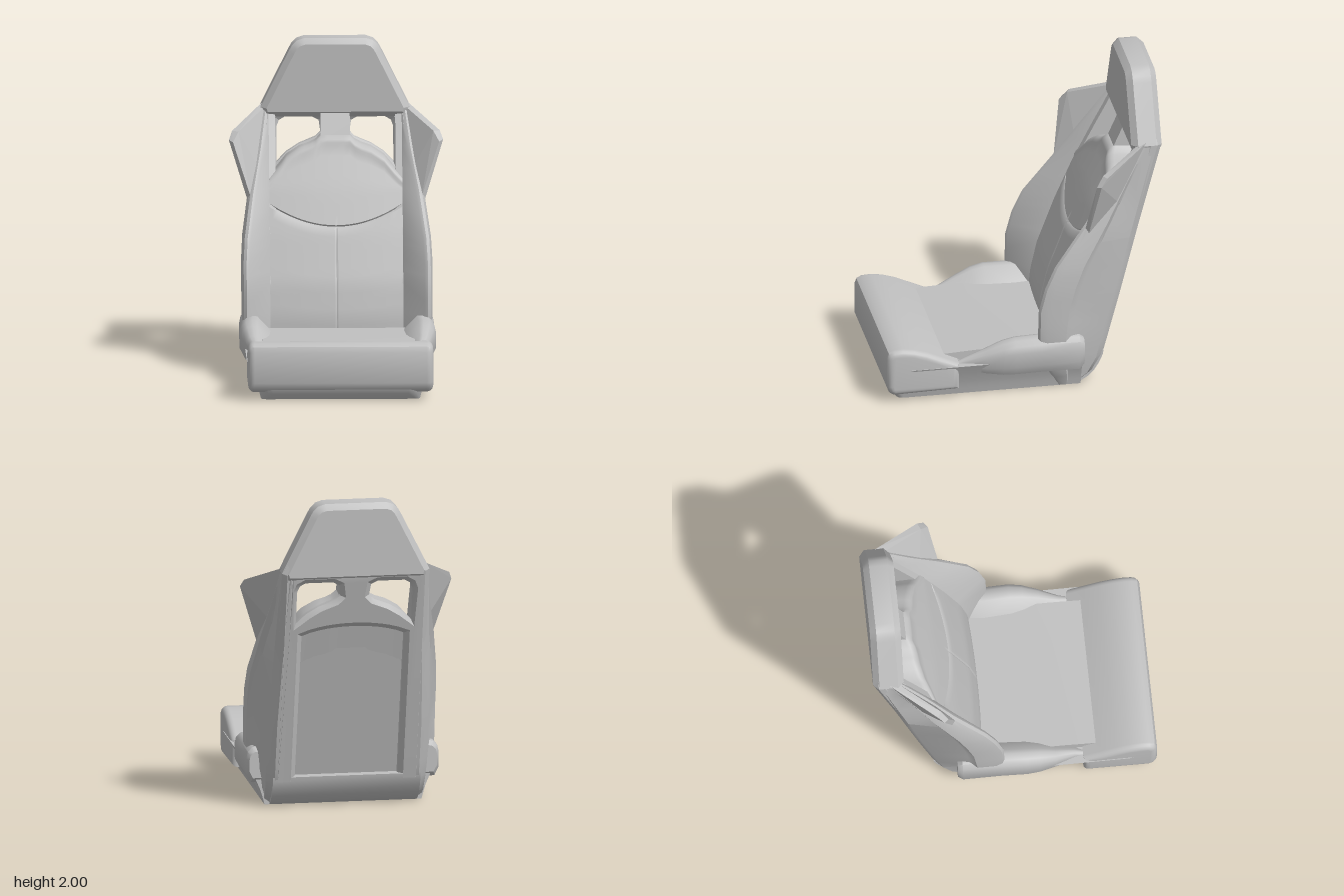
import * as THREE from 'three';
import { toCreasedNormals } from 'three/addons/utils/BufferGeometryUtils.js';
import { ConvexGeometry } from 'three/addons/geometries/ConvexGeometry.js';

const grey = new THREE.MeshStandardMaterial({ color: 0xc0c0c0 });
grey.name = 'seat grey';

// Piecewise linear lookup in a table of [key, value...] rows
function lookup(table, t, col = 1) {
  let i = 0;
  while (i < table.length - 2 && t > table[i + 1][0]) i++;
  const a = table[i], b = table[i + 1];
  const k = Math.min(1, Math.max(0, (t - a[0]) / (b[0] - a[0])));
  return a[col] + (b[col] - a[col]) * k;
}

// Capped solid through closed loops of [x, y, z]; faces always point outwards
function loft(loops, crease = 0.6) {
  const n = loops[0].length, pts = loops.flat(), idx = [];
  for (let r = 0; r < loops.length - 1; r++)
    for (let i = 0; i < n; i++) {
      const j = (i + 1) % n, a = r * n + i, b = r * n + j;
      idx.push(a, b, b + n, a, b + n, a + n);
    }
  [0, loops.length - 1].forEach((r, end) => {
    const c = [0, 1, 2].map(k => loops[r].reduce((s, p) => s + p[k], 0) / n);
    pts.push(c);
    for (let i = 0; i < n; i++) {
      const a = r * n + i, b = r * n + (i + 1) % n;
      idx.push(pts.length - 1, end ? a : b, end ? b : a);
    }
  });
  const v = pts.map(p => new THREE.Vector3(...p)), cross = new THREE.Vector3();
  let volume = 0;
  for (let i = 0; i < idx.length; i += 3)
    volume += v[idx[i]].dot(cross.crossVectors(v[idx[i + 1]], v[idx[i + 2]]));
  if (volume < 0) idx.reverse();
  const g = new THREE.BufferGeometry().setFromPoints(v);
  g.setIndex(idx);
  return toCreasedNormals(g.toNonIndexed(), crease);
}

const shapeOf = pts => new THREE.Shape(pts.map(p => new THREE.Vector2(...p)));

// Side profile of [z, y] points, extruded across the width
function acrossX(profile, width, bevel = 0) {
  const g = new THREE.ExtrudeGeometry(shapeOf(profile), {
    depth: width - 2 * bevel, bevelEnabled: bevel > 0, bevelSize: bevel,
    bevelThickness: bevel, bevelOffset: -bevel, bevelSegments: 5,
  });
  g.translate(0, 0, bevel - width / 2).rotateY(-Math.PI / 2);
  return toCreasedNormals(g, 0.7);
}

// Rear surface of the shell, and front surface of the backrest padding
const REAR = [[0, -0.35], [0.07, -0.44], [0.17, -0.494], [1.58, -0.87], [2, -0.87]];
const FRONT = [[0, -0.18], [0.35, -0.2], [0.55, -0.245], [0.84, -0.355], [1.1, -0.47], [1.35, -0.60], [1.57, -0.72]];
const rear = y => lookup(REAR, y);
const front = y => lookup(FRONT, y);
const DOME = [[0, 1.41], [0.09, 1.41], [0.12, 1.38], [0.16, 1.36], [0.22, 1.34], [0.3, 1.29], [0.36, 1.22], [0.41, 1.17]];
const domeTop = x => lookup(DOME, Math.abs(x));

// Back shell: open recess below, two windows above, leaned along the rear surface
function shellGeometry() {
  const outline = [[-0.46, 0.14], [-0.32, 0.14]];
  for (let i = 0; i <= 12; i++) {
    const x = -0.32 + 0.64 * i / 12;
    outline.push([x, 1.06 + 0.14 * Math.sqrt(1 - (x / 0.4) ** 2)]);
  }
  outline.push([0.32, 0.14], [0.46, 0.14], [0.46, 1.57], [0.41, 1.65], [-0.41, 1.65], [-0.46, 1.57]);
  const shape = shapeOf(outline);
  for (const s of [-1, 1]) {
    const hole = [[0.09, 1.41], [0.12, 1.38], [0.22, 1.34], [0.3, 1.29], [0.36, 1.23], [0.36, 1.44],
      [0.345, 1.48], [0.31, 1.5], [0.14, 1.5], [0.1, 1.48]];
    shape.holes.push(new THREE.Path(hole.map(([x, y]) => new THREE.Vector2(s * x, y))));
  }
  const g = new THREE.ExtrudeGeometry(shape, {
    depth: 0.04, bevelSize: 0.03, bevelThickness: 0.03, bevelOffset: -0.03, bevelSegments: 1,
  });
  g.translate(0, 0, 0.03);
  return lean(g);
}

function lean(g) {
  const p = g.attributes.position;
  for (let i = 0; i < p.count; i++) p.setZ(i, p.getZ(i) + rear(p.getY(i)));
  return toCreasedNormals(g.index ? g.toNonIndexed() : g, 0.5);
}

// Backrest pad: columns of a domed cushion with a curved seam and a centre seam
function padGeometry() {
  const xs = [0.41, 0.39, 0.36, 0.33, 0.3, 0.26, 0.22, 0.19, 0.16, 0.14, 0.12, 0.09, 0.05, 0.01];
  const columns = [...xs.map(x => -x), 0, ...xs.slice().reverse()];
  return loft(columns.map(x => {
    const bulge = 0.015 * (1 - (x / 0.41) ** 2);
    const seam = 0.88 + 0.12 * (x / 0.4) ** 2, top = domeTop(x), r = 0.06;
    const loop = [[x, 0.2, rear(0.2) + 0.1]];
    for (let i = 0; i <= 14; i++) {
      const y = 0.2 + (seam - 0.21) * i / 14;
      loop.push([x, y, front(y) + bulge - (x === 0 ? 0.006 : 0)]);
    }
    loop.push([x, seam, front(seam) + bulge - 0.012]);
    for (let i = 0; i <= 8; i++) {
      const y = seam + 0.01 + (top - r - seam - 0.01) * i / 8;
      loop.push([x, y, front(y) + bulge]);
    }
    const z = front(top - r) + bulge;
    for (let i = 1; i <= 5; i++) {
      const a = i / 5 * Math.PI / 2;
      loop.push([x, top - r + r * Math.sin(a), z - r * (1 - Math.cos(a))]);
    }
    loop.push([x, top - 0.01, rear(top) + 0.06]);
    return loop;
  }), 0.7);
}

// Side bolster rows: y, rear corner x, outer x, foremost z
const BOLSTER = [[0, 0.49, 0.49, -0.2], [0.2, 0.5, 0.57, -0.08], [0.37, 0.5, 0.588, -0.07], [0.55, 0.5, 0.588, -0.075],
  [0.7, 0.495, 0.588, -0.115], [0.84, 0.49, 0.58, -0.18], [1.1, 0.48, 0.54, -0.375], [1.35, 0.47, 0.49, -0.55], [1.58, 0.455, 0.455, -0.715]];
function bolsterGeometry(s) {
  const ys = [0, 0.07, 0.17, 0.28, 0.37, 0.46, 0.55, 0.62, 0.7, 0.77, 0.84, 0.97, 1.1, 1.22, 1.35, 1.46, 1.58];
  return loft(ys.map(y => {
    const xs = lookup(BOLSTER, y, 1), xo = lookup(BOLSTER, y, 2), zf = lookup(BOLSTER, y, 3);
    const zb = rear(y), zc = front(y), k = (zf - zb) * 0.45;
    return [[0.37, zb + 0.03], [0.4, zb + 0.001], [xs - 0.05, zb + 0.001], [xs, zb + 0.05],
      [Math.max(xo - 0.035, xs), zf - k], [xo, zf - k * 0.8], [xo, zf - k * 0.25], [xo - 0.012, zf - 0.012],
      [xo - 0.03, zf], [Math.max(xo - 0.05, 0.415), zf - 0.01], [0.41, zc], [0.37, zc - 0.005]]
      .map(([x, z]) => [s * x, y, z]);
  }), 0.6);
}

// Shoulder wing: a thick angled plate
const wingGeometry = s => new ConvexGeometry([
  [0.42, 1.58, -0.74], [0.6, 1.46, -0.47], [0.635, 1.4, -0.425], [0.525, 1.06, -0.37], [0.42, 1.12, -0.5],
  [0.45, 1.59, -0.77], [0.64, 1.46, -0.49], [0.66, 1.41, -0.45], [0.545, 1.04, -0.39], [0.48, 1.2, -0.6],
].map(([x, y, z]) => new THREE.Vector3(s * x, y, z)));

// Thigh bolster rows: z, inner x, outer x, bottom y, top y
const THIGH = [[-0.36, 0.44, 0.585, 0.17, 0.34], [-0.33, 0.42, 0.6, 0.14, 0.368], [-0.1, 0.4, 0.6, 0.14, 0.37], [0.07, 0.41, 0.605, 0.14, 0.368],
  [0.15, 0.42, 0.595, 0.14, 0.35], [0.25, 0.44, 0.57, 0.15, 0.305], [0.37, 0.46, 0.53, 0.17, 0.25], [0.44, 0.48, 0.52, 0.18, 0.22]];
const thighGeometry = s => loft(THIGH.map(([z, xi, xo, yb, yt]) => {
  const w = xo - xi, h = yt - yb;
  return [[xi, yb], [xi, yb + h * 0.55], [xi + w * 0.45, yt - h * 0.03], [xi + w * 0.6, yt], [xi + w * 0.8, yt - h * 0.04],
    [xo - w * 0.05, yt - h * 0.16], [xo, yt - h * 0.35], [xo, yb + h * 0.25], [xo - w * 0.15, yb]].map(([x, y]) => [s * x, y, z]);
}), 0.7);

// Seat base: flared tray with rounded front corners; rows: y, half width, front z, corner radius
function baseGeometry() {
  const rows = [[0, 0.49, 0.8, 0.04], [0.04, 0.5, 0.845, 0.08], [0.09, 0.515, 0.865, 0.1], [0.16, 0.545, 0.865, 0.12], [0.22, 0.575, 0.82, 0.12]];
  return loft(rows.map(([y, w, zf, r]) => {
    const half = [];
    for (let i = 0; i <= 5; i++) {
      const a = i / 5 * Math.PI / 2;
      half.push([w - r + r * Math.cos(a), y, zf - r + r * Math.sin(a)]);
    }
    return [[w, y, -0.35], ...half, ...half.slice().reverse().map(([x, q, z]) => [-x, q, z]), [-w, y, -0.35]];
  }), 0.6);
}

// Headrest: bevelled trapezoid with rounded top corners
function headGeometry() {
  const right = [[0.44, 1.51], [0.46, 1.57], [0.285, 1.92], [0.265, 1.955], [0.235, 1.985], [0.19, 2]];
  const g = new THREE.ExtrudeGeometry(shapeOf([...right, ...right.slice().reverse().map(([x, y]) => [-x, y])]), {
    depth: 0.115, bevelSize: 0.035, bevelThickness: 0.0375, bevelOffset: -0.035, bevelSegments: 1,
  });
  g.translate(0, 0, -0.87 + 0.0375);
  return toCreasedNormals(g, 0.5);
}

export function createModel() {
  const model = new THREE.Group();
  model.name = 'bucketSeat';
  const add = (name, geometry) => {
    const mesh = new THREE.Mesh(geometry, grey);
    mesh.name = name;
    model.add(mesh);
  };

  // Backrest
  add('backShell', shellGeometry());
  add('recessPanel', lean(new THREE.BoxGeometry(0.76, 1.03, 0.03).translate(0, 0.685, 0.085)));
  add('shellHeel', acrossX([[-0.5, 0.2], [-0.494, 0.17], [-0.472, 0.12], [-0.44, 0.07], [-0.4, 0.03], [-0.35, 0], [-0.1, 0], [-0.1, 0.2]], 0.92));
  add('backPad', padGeometry());
  add('centrePost', acrossX([[-0.58, 1.28], [-0.61, 1.36], [-0.7, 1.56], [-0.81, 1.56], [-0.74, 1.28]], 0.18));
  add('headrest', headGeometry());

  // Seat
  add('seatBase', baseGeometry());
  add('seatCushion', acrossX([[-0.3, 0.1], [0.56, 0.1], [0.56, 0.265], [0.3, 0.278], [-0.3, 0.278]], 0.94));
  add('frontCushion', acrossX([[0.42, 0.06], [0.83, 0.05], [0.86, 0.07], [0.875, 0.11], [0.875, 0.3], [0.862, 0.335],
    [0.83, 0.352], [0.77, 0.356], [0.7, 0.345], [0.62, 0.32], [0.53, 0.28], [0.42, 0.23]], 1.14, 0.04));

  // Mirrored side parts
  for (const [side, s] of [['left', 1], ['right', -1]]) {
    add(side + 'BackBolster', bolsterGeometry(s));
    add(side + 'ShoulderWing', wingGeometry(s));
    add(side + 'ThighBolster', thighGeometry(s));
  }
  return model;
}
